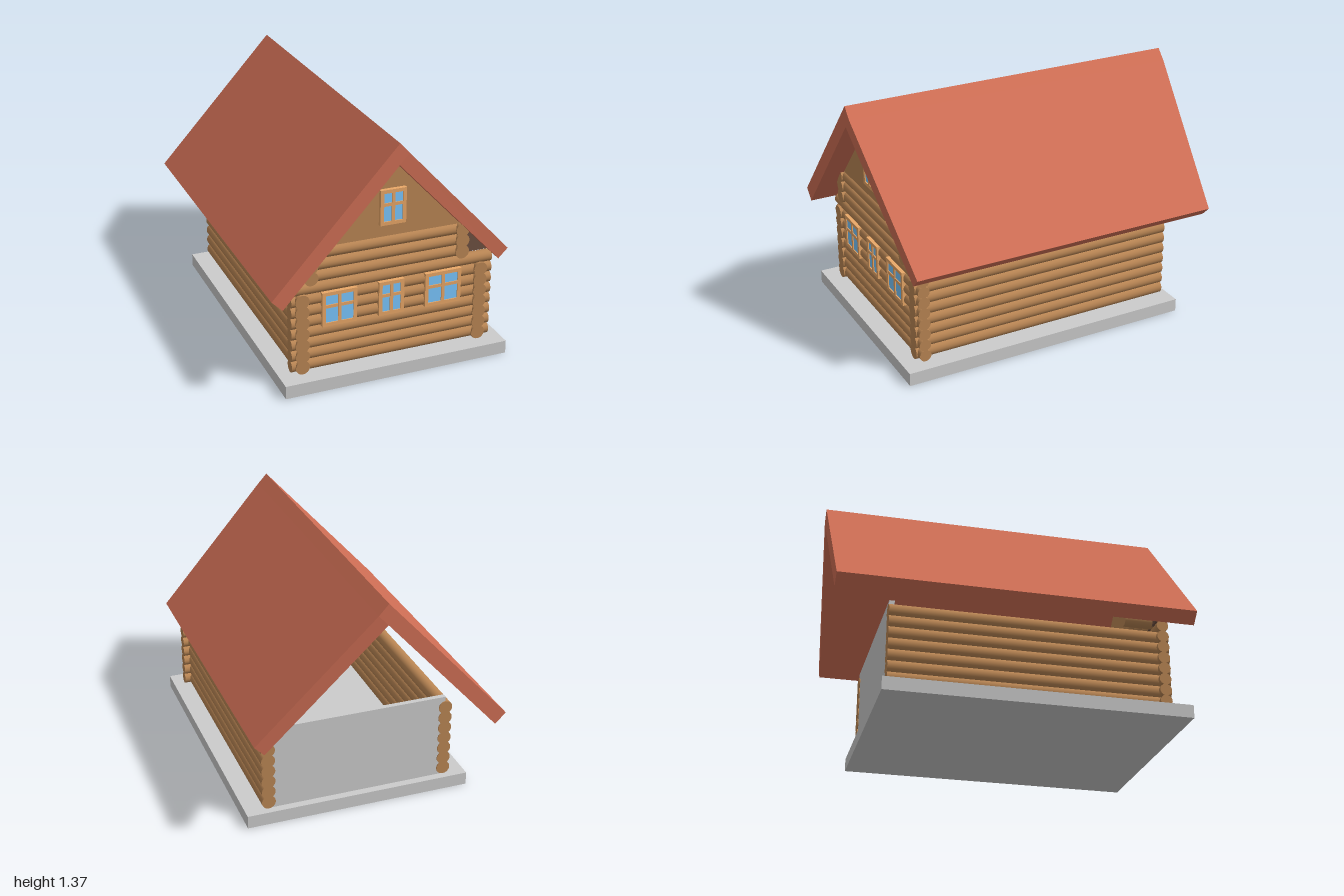
import * as THREE from 'three';

export function createModel() {
  const root = new THREE.Group();
  const mat = (color) => new THREE.MeshStandardMaterial({ color, side: THREE.DoubleSide });
  const wood = mat(0xba8654), roofRed = mat(0xd06f55), trim = mat(0xeaa868);
  const glass = mat(0x7bc8ff), dark = mat(0x6e5041), grey = mat(0xcccccc);

  const add = (name, geometry, material, parent = root) => {
    const mesh = new THREE.Mesh(geometry, material);
    mesh.name = name;
    parent.add(mesh);
    return mesh;
  };
  const box = (name, x0, x1, y0, y1, z0, z1, material, parent) =>
    add(name, new THREE.BoxGeometry(x1 - x0, y1 - y0, z1 - z0), material, parent)
      .position.set((x0 + x1) / 2, (y0 + y1) / 2, (z0 + z1) / 2);
  // Flat outline in x and y, extruded from z0 to z1
  const slab = (points, z0, z1) => {
    const shape = new THREE.Shape(points.map(([x, y]) => new THREE.Vector2(x, y)));
    return new THREE.ExtrudeGeometry(shape, { depth: z1 - z0, bevelEnabled: false }).translate(0, 0, z0);
  };
  // Stack of logs running along 'x' or 'z' from a to b; "at" is the other coordinate
  const logStack = (name, axis, a, b, at, y0, pitch, count, radius) => {
    const group = new THREE.Group();
    group.name = name;
    const geometry = new THREE.CylinderGeometry(radius, radius, b - a, 24);
    if (axis === 'x') geometry.rotateZ(Math.PI / 2);
    else geometry.rotateX(Math.PI / 2);
    const mid = (a + b) / 2;
    for (let i = 0; i < count; i++) {
      add('log', geometry, wood, group)
        .position.set(axis === 'x' ? mid : at, y0 + i * pitch, axis === 'x' ? at : mid);
    }
    root.add(group);
  };

  // Foundation and plain back wall
  box('foundation', -0.62, 0.69, 0, 0.075, -0.73, 0.975, grey);
  box('backWall', -0.49, 0.555, 0.075, 0.575, -0.685, -0.655, grey);

  // Log walls
  logStack('frontWall', 'x', -0.55, 0.625, 0.85, 0.117, 0.0645, 8, 0.034);
  logStack('rightWall', 'z', -0.69, 0.89, 0.555, 0.115, 0.0655, 7, 0.04);
  logStack('leftWall', 'z', -0.69, 0.89, -0.49, 0.115, 0.0655, 7, 0.04);
  logStack('upperFrontWall', 'x', -0.41, 0.42, 0.85, 0.635, 0.0655, 3, 0.034);
  for (const x of [-0.44, 0.437]) logStack('upperCornerLogs', 'z', 0.66, 0.89, x, 0.635, 0.0655, 3, 0.04);

  // Gable and the dark infill under the eaves
  add('gable', slab([[-0.41, 0.8], [0.425, 0.8], [0, 1.25]], 0.84, 0.87), wood);
  add('eaveInfill', slab([[-0.55, 0.6], [-0.4, 0.6], [-0.4, 0.78], [-0.45, 0.75], [-0.5, 0.7]], 0.82, 0.835), dark);
  add('eaveInfill', slab([[0.4, 0.6], [0.615, 0.6], [0.44, 0.786], [0.4, 0.786]], 0.82, 0.835), dark);

  // Roof: one straight slope, one that narrows towards its eave
  add('roofLeftSlope', slab([[0, 1.37], [-0.7, 0.605], [-0.64, 0.545], [0.055, 1.31]], -1, 1), roofRed);
  const tapered = slab([[0.055, 1.31], [0, 1.25], [0.645, 0.57], [0.7, 0.625]], -1, 1);
  const p = tapered.attributes.position;
  for (let i = 0; i < p.count; i++) if (p.getX(i) > 0.5) p.setZ(i, p.getZ(i) * 0.918);
  tapered.computeVertexNormals();
  add('roofRightSlope', tapered, roofRed);

  // Windows: pane, frame, mullion and transom
  const windowUnit = (x0, x1, y0, y1) => {
    const group = new THREE.Group();
    group.name = 'window';
    root.add(group);
    const t = 0.02, zb = 0.855, zf = 0.892, xm = (x0 + x1) / 2, yt = y0 + (y1 - y0) * 0.58;
    box('pane', x0 + t, x1 - t, y0 + t, y1 - t, zb, 0.886, glass, group);
    for (const x of [x0, x1 - t]) box('frameSide', x, x + t, y0, y1, zb, zf, trim, group);
    for (const y of [y0, y1 - t]) box('frameRail', x0 + t, x1 - t, y, y + t, zb, zf, trim, group);
    box('mullion', xm - 0.009, xm + 0.009, y0 + t, y1 - t, zb, zf, trim, group);
    box('transom', x0 + t, x1 - t, yt - 0.009, yt + 0.009, zb, zf - 0.001, trim, group);
  };
  windowUnit(-0.38, -0.18, 0.34, 0.54);
  windowUnit(-0.053, 0.095, 0.34, 0.54);
  windowUnit(0.22, 0.435, 0.34, 0.54);
  windowUnit(-0.053, 0.095, 0.872, 1.073);

  return root;
}
